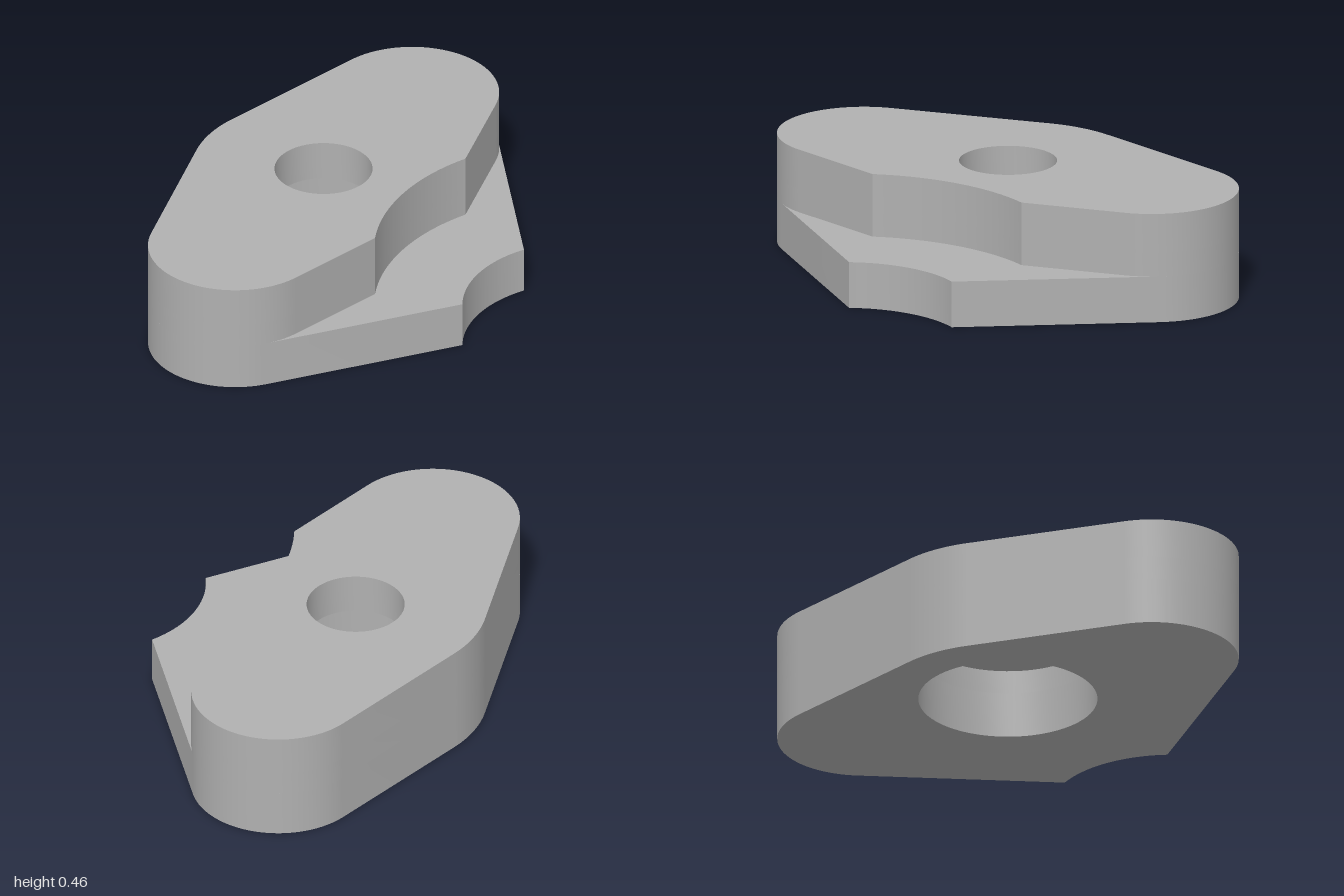
import * as THREE from 'three';
import { toCreasedNormals } from 'three/addons/utils/BufferGeometryUtils.js';

const rad = THREE.MathUtils.degToRad;
const HOLE_Z = -0.127;
const BORE = 0.197, COUNTERBORE = 0.36;
const STEP = 0.192, CEILING = 0.29, TOP = 0.455;

// Outline in x and z: two end lobes, a middle bulge at the back, a concave notch at the front.
function outline({ leftStart, rightEnd, notchRadius, notchFrom, notchTo }, holeRadius) {
  const shape = new THREE.Shape();
  shape.absarc(-0.65, 0.107, 0.35, rad(leftStart), rad(235.17), false);
  shape.absarc(0, HOLE_Z, 0.53, rad(235.17), rad(265.39), false);
  shape.absarc(0.65, -0.36, 0.35, rad(-94.61), rad(rightEnd), false);
  shape.absarc(0.42, 1.022, notchRadius, rad(notchFrom), rad(notchTo), true);
  shape.closePath();
  const hole = new THREE.Path();
  hole.absarc(0, HOLE_Z, holeRadius, 0, Math.PI * 2, true);
  shape.holes.push(hole);
  return shape;
}

const baseProfile = { leftStart: 108.4, rightEnd: 32.1, notchRadius: 0.495, notchFrom: -80.7, notchTo: -140 };
const bodyProfile = { leftStart: 85.39, rightEnd: 55.17, notchRadius: 0.85, notchFrom: -85.3, notchTo: -134.9 };

export function createModel() {
  const group = new THREE.Group();
  group.name = 'steppedBracket';
  const metal = new THREE.MeshStandardMaterial({ color: 0xb0b0b0 });
  metal.name = 'plain grey';

  // Flat layer between two heights
  function addLayer(name, profile, holeRadius, y0, y1) {
    const geometry = new THREE.ExtrudeGeometry(outline(profile, holeRadius), {
      depth: y1 - y0, bevelEnabled: false, curveSegments: 40,
    });
    geometry.rotateX(Math.PI / 2);
    geometry.translate(0, y1, 0);
    const mesh = new THREE.Mesh(toCreasedNormals(geometry, rad(25)), metal);
    mesh.name = name;
    group.add(mesh);
  }

  // Wide base flange, then the body around the counterbore, then the top with the narrow bore
  addLayer('baseFlange', baseProfile, COUNTERBORE, 0, STEP);
  addLayer('counterboredBody', bodyProfile, COUNTERBORE, STEP, CEILING);
  addLayer('topPlate', bodyProfile, BORE, CEILING, TOP);

  return group;
}
